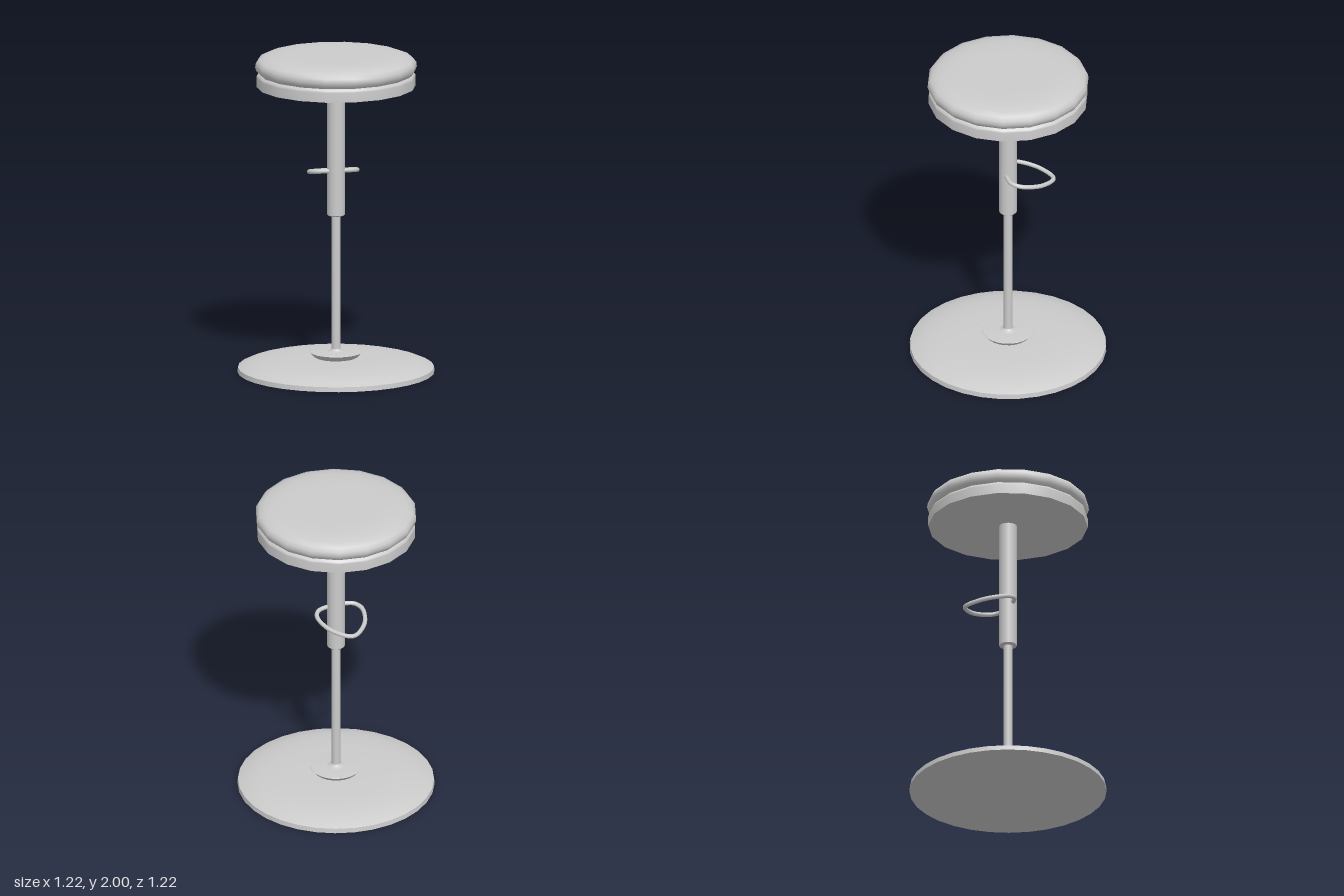
import * as THREE from 'three';
import { mergeGeometries } from 'three/addons/utils/BufferGeometryUtils.js';

const material = new THREE.MeshStandardMaterial({ color: 0xcccccc, side: THREE.DoubleSide });

// Turned part: each profile [radius, y] is smooth, with sharp edges between profiles
function turned(name, sides, ...profiles) {
  const parts = profiles.map(p =>
    new THREE.LatheGeometry(p.map(([r, y]) => new THREE.Vector2(r, y)), sides));
  const mesh = new THREE.Mesh(mergeGeometries(parts), material);
  mesh.name = name;
  return mesh;
}

export function createModel() {
  const group = new THREE.Group();
  group.name = 'barStool';

  // Shallow domed floor plate
  group.add(turned('base', 32,
    [[0, 0], [0.608, 0]],
    [[0.608, 0], [0.605, 0.03]],
    [[0.605, 0.03], [0.56, 0.05], [0.5, 0.066], [0.42, 0.078], [0.32, 0.085], [0.2, 0.088], [0, 0.09]]));

  // Flared collar with a small fillet up to the pole
  group.add(turned('collar', 24,
    [[0.115, 0.085], [0.135, 0.095], [0.15, 0.11], [0.16, 0.122]],
    [[0.16, 0.122], [0.157, 0.127], [0.06, 0.128], [0.038, 0.131], [0.028, 0.145]]));

  // Thin inner pole and wider outer sleeve
  group.add(turned('pole', 16, [[0.028, 0.1], [0.028, 1.0]]));
  group.add(turned('sleeve', 20,
    [[0, 0.985], [0.05, 0.985]],
    [[0.05, 0.985], [0.055, 0.99]],
    [[0.055, 0.99], [0.055, 1.81]]));

  // Seat: straight rim, groove, then a padded cushion
  group.add(turned('seatRim', 18,
    [[0, 1.8], [0.492, 1.8]],
    [[0.492, 1.8], [0.492, 1.86], [0.488, 1.872], [0.475, 1.882]]));
  group.add(turned('seatCushion', 18,
    [[0.475, 1.882], [0.491, 1.898], [0.499, 1.92], [0.497, 1.945], [0.48, 1.968],
      [0.44, 1.984], [0.38, 1.994], [0.28, 2], [0, 2]]));

  // Height lever: a closed rounded loop sloping down towards the back
  const half = [[0.11, 0], [0.147, -0.05], [0.142, -0.12], [0.1, -0.21]];
  const outline = [...half, [0, -0.283], ...half.slice().reverse().map(([x, z]) => [-x, z])];
  const path = new THREE.CatmullRomCurve3(
    outline.map(([x, z]) => new THREE.Vector3(x, 1.265 + 0.2 * z, z)), true);
  const lever = new THREE.Mesh(new THREE.TubeGeometry(path, 48, 0.014, 8, true), material);
  lever.name = 'heightLever';
  group.add(lever);

  return group;
}
